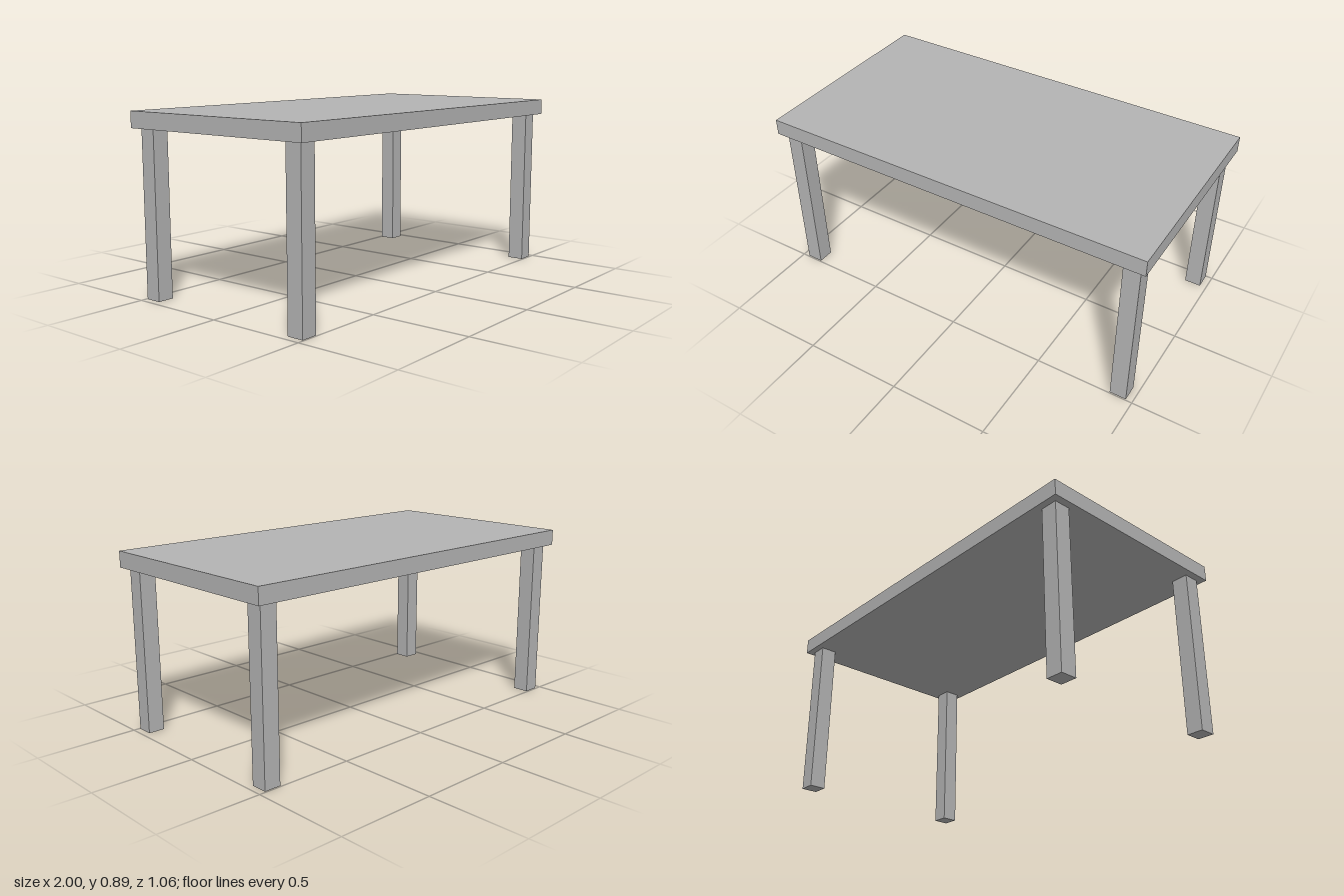
import * as THREE from 'three';

export function createModel() {
  const model = new THREE.Group();
  model.name = 'table';

  const grey = new THREE.MeshStandardMaterial({ color: 0xb4b4b4 });
  grey.name = 'grey';

  const addBox = (name, size, position) => {
    const mesh = new THREE.Mesh(new THREE.BoxGeometry(...size), grey);
    mesh.name = name;
    mesh.position.set(...position);
    model.add(mesh);
  };

  const height = 0.895, topThickness = 0.08, legWidth = 0.083;
  const legHeight = height - topThickness;

  // Table top
  addBox('tableTop', [2, topThickness, 1.056], [0, height - topThickness / 2, 0]);

  // Four square legs, inset from the edges
  for (const [endZ, sz] of [['front', 1], ['back', -1]]) {
    for (const [side, sx] of [['Left', 1], ['Right', -1]]) {
      addBox(`${endZ}${side}Leg`, [legWidth, legHeight, legWidth],
        [sx * 0.925, legHeight / 2, sz * 0.453]);
    }
  }

  return model;
}
